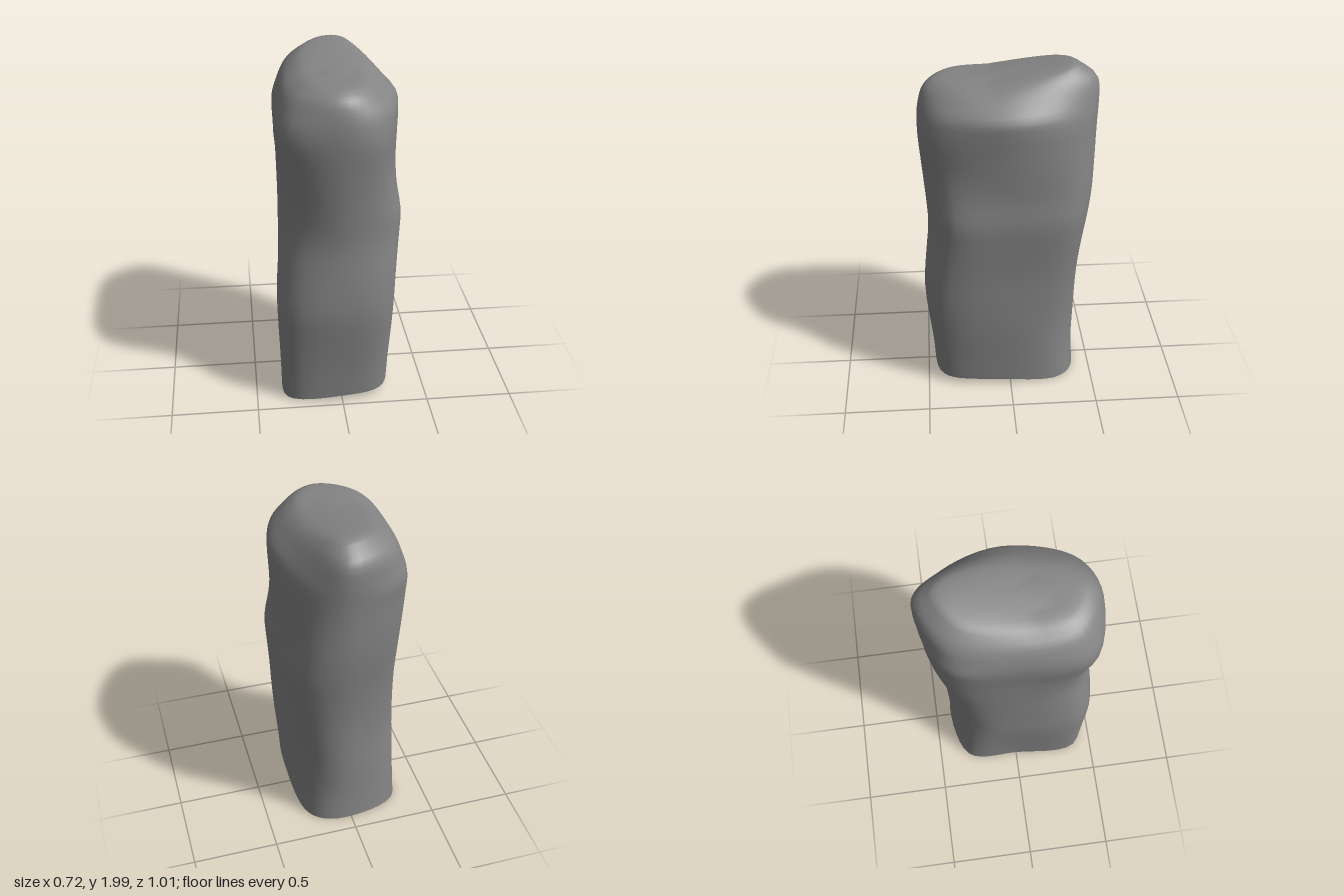
import * as THREE from 'three';

// Cross-sections from the ground up: [y, xMin, xMax, zMin, zMax]
const sections = [
  [0.01, -0.325, 0.295, -0.405, 0.455],
  [0.2, -0.33, 0.305, -0.395, 0.465],
  [0.4, -0.341, 0.32, -0.40, 0.485],
  [0.6, -0.347, 0.326, -0.405, 0.502],
  [0.8, -0.337, 0.328, -0.415, 0.487],
  [1.0, -0.334, 0.343, -0.44, 0.467],
  [1.15, -0.332, 0.354, -0.463, 0.472],
  [1.3, -0.333, 0.342, -0.482, 0.483],
  [1.45, -0.336, 0.346, -0.49, 0.494],
  [1.6, -0.347, 0.35, -0.495, 0.505],
  [1.7, -0.346, 0.354, -0.50, 0.505],
  [1.78, -0.33, 0.346, -0.505, 0.495],
  [1.85, -0.295, 0.275, -0.498, 0.473],
  [1.89, -0.24, 0.22, -0.425, 0.435],
  [1.915, -0.18, 0.16, -0.36, 0.37],
  [1.923, -0.09, 0.08, -0.19, 0.2],
];

// Corner fullness per section: front +x, front -x, back -x, back +x,
// then how far the front +x edge wanders around the stone
const fullness = [
  [1.05, 1.06, 1.08, 1.03, -0.05], [1.05, 1.05, 1.04, 0.99, -0.05],
  [1.05, 1.02, 0.97, 0.96, -0.05], [1.06, 1.0, 0.92, 0.99, -0.04],
  [1.07, 0.97, 0.94, 1.04, -0.02], [1.04, 0.92, 0.95, 1.06, 0.01],
  [1.01, 0.89, 0.97, 1.06, 0.02], [0.98, 0.9, 0.99, 1.04, -0.02],
  [0.96, 0.94, 1.01, 1.0, -0.09], [0.97, 0.98, 1.01, 0.96, -0.11],
  [0.95, 0.97, 1.02, 0.93, -0.1], [0.92, 0.93, 0.99, 0.89, -0.08],
  [0.9, 0.9, 0.97, 0.88, -0.06], [0.9, 0.9, 0.95, 0.9, -0.04],
  [0.92, 0.92, 0.95, 0.92, -0.02], [0.95, 0.95, 0.95, 0.95, 0],
];

// Where each corner sits as a fraction of the half width and half depth
const cornerSpots = [[0.86, 0.75], [-0.93, 0.81], [-0.83, -0.72], [0.8, -0.745]];
const sideSpots = [[1, 0], [0, 1], [-1, 0], [0.13, -1]];

const SIDES = 48;
const RINGS = (sections.length - 1) * 3;

// The crown climbs toward the back and falls off to both sides
const crownRise = (x, z) =>
  0.085 * THREE.MathUtils.clamp((0.1 - z) / 0.45, 0, 1) * Math.max(0, 1 - 6 * x * x);

// A corner's position on one section
function cornerAt(row, q) {
  const k = fullness[row][q];
  const wander = q === 0 ? fullness[row][4] : 0;
  return [cornerSpots[q][0] * k + wander, cornerSpots[q][1] * k - 0.7 * wander];
}

// Eight upright curves: side, corner, side, corner... around the stone
function uprights() {
  const curves = [];
  for (let i = 0; i < 8; i++) {
    const points = sections.map(([y, x0, x1, z0, z1], row) => {
      const [u, w] = i % 2 ? cornerAt(row, i >> 1) : sideSpots[i >> 1];
      return new THREE.Vector3(u * (u > 0 ? x1 : -x0), y, w * (w > 0 ? z1 : -z0));
    });
    curves.push(new THREE.CatmullRomCurve3(points, false, 'catmullrom'));
  }
  return curves;
}

function stoneGeometry() {
  const positions = [];
  const indices = [];
  const curves = uprights();

  for (let row = 0; row <= RINGS; row++) {
    const outline = new THREE.CatmullRomCurve3(curves.map((c) => c.getPoint(row / RINGS)), true, 'catmullrom');
    for (let i = 0; i < SIDES; i++) {
      const { x, y, z } = outline.getPoint(i / SIDES);
      const tilt = THREE.MathUtils.smoothstep(y, 1.77, 1.91);
      // The open rim lifts at its front +x corner
      const rim = row === 0 ? 0.042 * Math.max(0, Math.cos(Math.atan2(z, x) - Math.PI / 4)) : 0;
      positions.push(x, y + rim + tilt * crownRise(x, z), z);
    }
  }

  for (let row = 0; row < RINGS; row++) {
    for (let i = 0; i < SIDES; i++) {
      const a = row * SIDES + i;
      const b = row * SIDES + ((i + 1) % SIDES);
      indices.push(a, a + SIDES, b, b, a + SIDES, b + SIDES);
    }
  }

  // Close the crown with a fan
  const centre = (RINGS + 1) * SIDES;
  positions.push(0, 1.925 + crownRise(0, 0), 0);
  for (let i = 0; i < SIDES; i++) {
    indices.push(centre - SIDES + i, centre, centre - SIDES + ((i + 1) % SIDES));
  }

  const geometry = new THREE.BufferGeometry();
  geometry.setAttribute('position', new THREE.Float32BufferAttribute(positions, 3));
  geometry.setIndex(indices);
  geometry.computeVertexNormals();
  return geometry;
}

export function createModel() {
  const group = new THREE.Group();
  group.name = 'standingStone';

  // Weathered stone shell, open underneath
  const stone = new THREE.Mesh(
    stoneGeometry(),
    new THREE.MeshStandardMaterial({ color: 0x848484, side: THREE.DoubleSide })
  );
  stone.name = 'stone';
  group.add(stone);
  return group;
}
